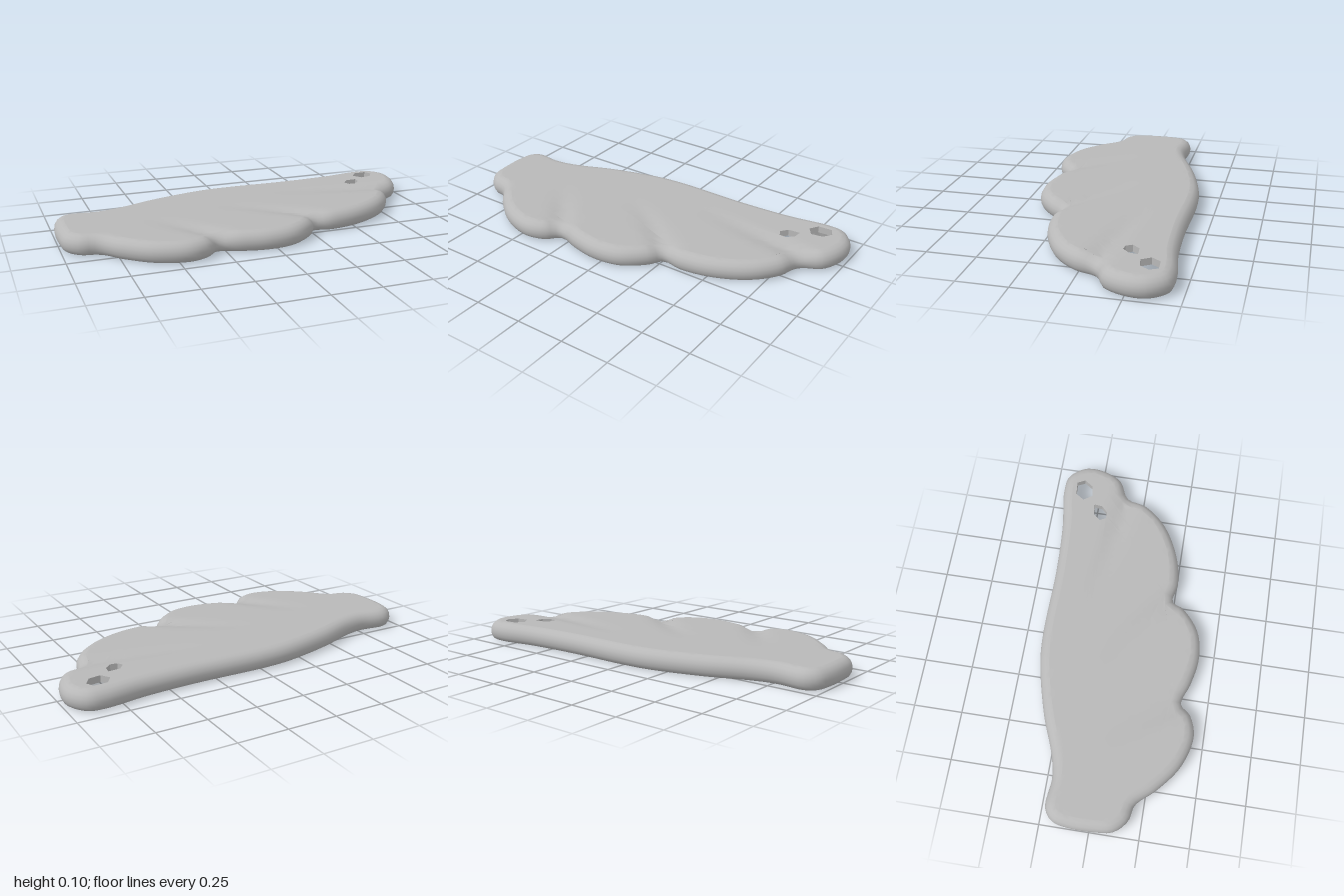
import * as THREE from 'three';
import { mergeVertices } from 'three/addons/utils/BufferGeometryUtils.js';

const V2 = (p) => new THREE.Vector2(p[0], p[1]);

// Wing outline in plan, as (x, z)
const OUTLINE = [
  [-1, -0.1], [-0.98, -0.185], [-0.92, -0.23], [-0.77, -0.222], [-0.66, -0.245], [-0.45, -0.325],
  [-0.18, -0.395], [-0.02, -0.41], [0.35, -0.407], [0.62, -0.422], [0.83, -0.452], [0.92, -0.44],
  [0.985, -0.36], [0.99, -0.265], [0.94, -0.15], [0.84, -0.09], [0.8, 0.02], [0.7, 0.135],
  [0.53, 0.225], [0.365, 0.255], [0.265, 0.24], [0.23, 0.3], [0.11, 0.395], [-0.035, 0.42],
  [-0.18, 0.395], [-0.29, 0.36], [-0.345, 0.415], [-0.45, 0.447], [-0.61, 0.405], [-0.75, 0.3],
  [-0.84, 0.205], [-0.92, 0.185], [-0.985, 0.12], [-1, 0.03],
];

// Two irregular holes near the tip
const HOLES = [
  [[0.77, -0.33], [0.8, -0.375], [0.87, -0.38], [0.89, -0.34], [0.86, -0.295], [0.8, -0.285]],
  [[0.66, -0.22], [0.69, -0.258], [0.75, -0.263], [0.745, -0.22], [0.71, -0.187], [0.675, -0.19]],
].map((hole) => hole.flatMap((p, i) => {
  const a = V2(p), b = V2(hole[(i + 1) % hole.length]);
  return [a, a.clone().lerp(b, 0.5)];
}));

// Feather grooves, each running inward from a notch
const GROOVES = [
  [[0.84, -0.09], [0.55, -0.12], [0.2, -0.19]],
  [[0.265, 0.24], [0.1, 0.08], [-0.15, -0.06]],
  [[-0.29, 0.36], [-0.4, 0.2], [-0.55, 0.03]],
].map((g) => new THREE.QuadraticBezierCurve(...g.map(V2)).getPoints(24));

function groove(p, width) {
  let depth = 0;
  for (const path of GROOVES) {
    path.forEach((q, i) => {
      const d = p.distanceTo(q) / width;
      depth = Math.max(depth, (1 - i / 24) * Math.exp(-d * d));
    });
  }
  return depth;
}
const topY = (p) => 0.1 - 0.02 * groove(p, 0.05);
const ceilingY = (p) => 0.066 - 0.036 * groove(p, 0.05);

// Edge section from the top round to the hollow underside: [inset, height]
const SECTION = [
  [0.05, topY], [0.03, 0.095], [0.013, 0.082], [0.003, 0.064], [0, 0.045], [0.003, 0.026],
  [0.011, 0.01], [0.024, 0.001], [0.036, 0.006], [0.045, 0.026], [0.055, ceilingY],
];

function makeLoops() {
  const curve = new THREE.CatmullRomCurve3(
    OUTLINE.map(([x, z]) => new THREE.Vector3(x, 0, z)), true, 'centripetal');
  curve.arcLengthDivisions = 1000;
  const pts = curve.getSpacedPoints(180).slice(0, 180).map((p) => new THREE.Vector2(p.x, p.z));
  const n = pts.length;
  return SECTION.map(([inset, y]) => pts.map((p, i) => {
    const t = pts[(i + 1) % n].clone().sub(pts[(i + n - 1) % n]).normalize();
    const q = new THREE.Vector2(p.x - t.y * inset, p.y + t.x * inset);
    const h = typeof y === 'function' ? y(q) : y * (1 - 0.2 * groove(q, 0.05));
    return [q.x, h, q.y];
  }));
}

// Wall between two matching closed loops
function addStrip(out, a, b) {
  for (let i = 0; i < a.length; i++) {
    const j = (i + 1) % a.length;
    out.push(...a[i], ...a[j], ...b[i], ...a[j], ...b[j], ...b[i]);
  }
}

// Holed sheet split until every edge is short, then lifted to a height rule
function addSheet(out, loop, height, up) {
  const contour = loop.map((p) => new THREE.Vector2(p[0], p[2]));
  const all = [...contour, ...HOLES.flat()];
  const emit = (a, b, c) => {
    const e = [[a, b, c], [b, c, a], [c, a, b]]
      .sort((s, t) => t[0].distanceTo(t[1]) - s[0].distanceTo(s[1]))[0];
    if (e[0].distanceTo(e[1]) > 0.06) {
      const m = e[0].clone().add(e[1]).multiplyScalar(0.5);
      emit(e[0], m, e[2]);
      emit(m, e[1], e[2]);
      return;
    }
    const facesUp = (b.y - a.y) * (c.x - a.x) - (b.x - a.x) * (c.y - a.y) > 0;
    for (const p of facesUp === up ? [a, b, c] : [a, c, b]) out.push(p.x, height(p), p.y);
  };
  for (const [a, b, c] of THREE.ShapeUtils.triangulateShape(contour, HOLES)) {
    emit(all[a], all[b], all[c]);
  }
}

function makeMesh(name, positions, material, smooth) {
  let geometry = new THREE.BufferGeometry();
  geometry.setAttribute('position', new THREE.Float32BufferAttribute(positions, 3));
  if (smooth) geometry = mergeVertices(geometry, 1e-4);
  geometry.computeVertexNormals();
  const mesh = new THREE.Mesh(geometry, material);
  mesh.name = name;
  return mesh;
}

export function createModel() {
  const group = new THREE.Group();
  group.name = 'wing';
  const grey = new THREE.MeshStandardMaterial({ color: 0xb8b8b8 });
  grey.name = 'plain grey';

  // Smooth shell: top, rounded rim and hollow underside
  const loops = makeLoops();
  const shell = [];
  addSheet(shell, loops[0], topY, true);
  for (let i = 0; i < loops.length - 1; i++) addStrip(shell, loops[i], loops[i + 1]);
  addSheet(shell, loops[loops.length - 1], ceilingY, false);
  group.add(makeMesh('wingShell', shell, grey, true));

  // Sharp-edged hole walls
  const walls = [];
  for (const hole of HOLES) {
    addStrip(walls, hole.map((p) => [p.x, ceilingY(p), p.y]), hole.map((p) => [p.x, topY(p), p.y]));
  }
  group.add(makeMesh('holeWalls', walls, grey, false));
  return group;
}
